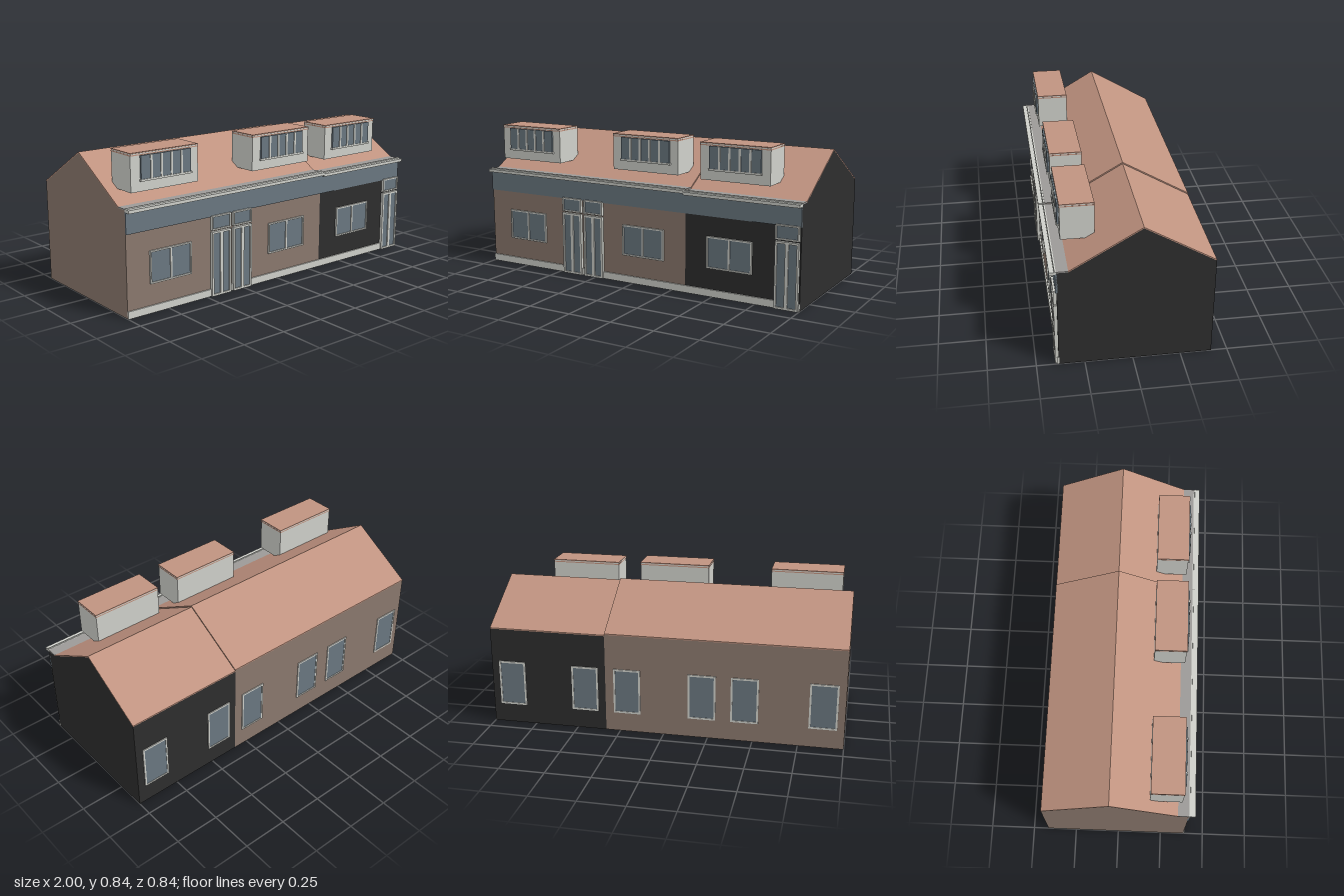
import * as THREE from 'three';

const mat = (name, color) => {
  const m = new THREE.MeshStandardMaterial({ color });
  m.name = name;
  return m;
};

export function createModel() {
  const M = {
    brick: mat('brown brick', 0x8a786d),
    dark: mat('dark brick', 0x2d2d2d),
    roof: mat('terracotta roof', 0xc09380),
    trim: mat('off-white trim', 0xcfd0ca),
    glass: mat('blue grey panel', 0x6a7780),
    lead: mat('grey flat roof', 0x9c9a97),
  };
  const root = new THREE.Group();
  root.name = 'terraceRow';

  const group = (name, parent = root) => {
    const g = new THREE.Group();
    g.name = name;
    parent.add(g);
    return g;
  };

  // box given by its limits on each axis
  const box = (name, parent, m, x0, x1, y0, y1, z0, z1) => {
    const mesh = new THREE.Mesh(new THREE.BoxGeometry(x1 - x0, y1 - y0, z1 - z0), m);
    mesh.position.set((x0 + x1) / 2, (y0 + y1) / 2, (z0 + z1) / 2);
    mesh.name = name;
    parent.add(mesh);
    return mesh;
  };

  // side profile of [z, y] points swept along x
  const sweep = (name, parent, m, pts, x0, x1) => {
    const shape = new THREE.Shape(pts.map(([z, y]) => new THREE.Vector2(-z, y)));
    const geo = new THREE.ExtrudeGeometry(shape, { depth: x1 - x0, bevelEnabled: false });
    geo.rotateY(Math.PI / 2);
    geo.translate(x0, 0, 0);
    const mesh = new THREE.Mesh(geo, m);
    mesh.name = name;
    parent.add(mesh);
  };

  // picture-frame border made from four bars
  const frame = (parent, x0, x1, y0, y1, z0, z1, t) => {
    box('frameBottom', parent, M.trim, x0, x1, y0, y0 + t, z0, z1);
    box('frameTop', parent, M.trim, x0, x1, y1 - t, y1, z0, z1);
    box('frameSide', parent, M.trim, x0, x0 + t, y0 + t, y1 - t, z0, z1);
    box('frameSide', parent, M.trim, x1 - t, x1, y0 + t, y1 - t, z0, z1);
  };

  const FRONT = 0.385, BACK = -0.415, RIDGE = -0.045, EAVE = 0.325;

  // front window with two panes
  const frontWindow = (parent, x0, x1) => {
    const g = group('frontWindow', parent), mid = (x0 + x1) / 2;
    frame(g, x0, x1, 0.157, 0.333, FRONT - 0.005, 0.395, 0.008);
    box('glass', g, M.glass, x0 + 0.005, x1 - 0.005, 0.16, 0.33, FRONT - 0.005, 0.389);
    box('mullion', g, M.trim, mid - 0.005, mid + 0.005, 0.16, 0.33, FRONT, 0.394);
  };

  // double door with a separate light above
  const door = (parent, x0, x1) => {
    const g = group('frontDoor', parent), mid = (x0 + x1) / 2, z = 0.402;
    box('doorPanel', g, M.glass, x0 + 0.005, x1 - 0.005, 0.01, 0.355, FRONT - 0.005, 0.396);
    frame(g, x0, x1, 0, 0.36, FRONT - 0.005, z, 0.011);
    box('doorStile', g, M.trim, mid - 0.009, mid + 0.009, 0.01, 0.35, FRONT, z);
    const t = group('doorTransom', g);
    box('glass', t, M.glass, x0 + 0.005, x1 - 0.005, 0.373, 0.442, FRONT - 0.005, 0.396);
    frame(t, x0, x1, 0.368, 0.448, FRONT - 0.005, z, 0.008);
  };

  // rear window
  const rearWindow = (parent, x0, x1) => {
    const g = group('rearWindow', parent);
    frame(g, x0, x1, 0.11, 0.37, -0.42, BACK + 0.005, 0.01);
    box('glass', g, M.glass, x0 + 0.005, x1 - 0.005, 0.115, 0.365, -0.4175, BACK + 0.005);
  };

  // box dormer with a five-light window
  const dormer = (parent, x0, x1, dy) => {
    const g = group('dormer', parent);
    box('dormerBody', g, M.trim, x0, x1, 0.635 + dy, 0.82 + dy, 0.17, 0.345);
    box('dormerRoof', g, M.roof, x0 - 0.001, x1 + 0.001, 0.82 + dy, 0.826 + dy, 0.17, 0.347);
    box('dormerRoofBand', g, M.trim, x0, x1, 0.826 + dy, 0.831 + dy, 0.17, 0.349);
    box('dormerRoofCap', g, M.roof, x0 - 0.001, x1 + 0.001, 0.831 + dy, 0.836 + dy, 0.17, 0.347);
    const w0 = x0 + 0.057, w1 = x1 - 0.05, step = (w1 - w0) / 5;
    box('dormerGlass', g, M.glass, w0, w1, 0.698 + dy, 0.819 + dy, 0.34, 0.355);
    for (let i = 1; i < 5; i++) {
      const x = w0 + step * i;
      box('dormerMullion', g, M.trim, x - 0.006, x + 0.006, 0.695 + dy, 0.819 + dy, 0.34, 0.359);
    }
    box('dormerSill', g, M.trim, w0 - 0.005, w1 + 0.005, 0.688 + dy, 0.698 + dy, 0.34, 0.359);
  };

  const houses = [
    { x0: -1, x1: -0.333, wall: M.brick, dy: 0, win: [-0.862, -0.602], door: [-0.472, -0.343],
      plinth: [[-1, -0.472], [-0.343, -0.333]], dormer: [-0.935, -0.521], rear: [[-0.96, -0.805], [-0.53, -0.377]] },
    { x0: -0.333, x1: 0.333, wall: M.brick, dy: 0, win: [-0.067, 0.198], door: [-0.325, -0.198],
      plinth: [[-0.333, -0.325], [-0.198, 0.333]], dormer: [-0.15, 0.264], rear: [[-0.293, -0.138], [0.132, 0.285]] },
    { x0: 0.333, x1: 1, wall: M.dark, dy: -0.008, win: [0.465, 0.73], door: [0.862, 0.993],
      plinth: [[0.333, 0.862], [0.993, 1]], dormer: [0.4, 0.806], rear: [[0.375, 0.528], [0.802, 0.957]] },
  ];

  houses.forEach((h) => {
    const g = group('house'), { x0, x1, dy } = h;
    const low = 0.567 + dy, top = 0.785 + dy, t = 0.006;

    // walls with gables
    sweep('walls', g, h.wall, [[FRONT, 0], [BACK, 0], [BACK, low], [RIDGE, top], [EAVE, low], [FRONT, low]], x0, x1);
    // roof skin and flat strip behind the gutter
    sweep('pitchedRoof', g, M.roof,
      [[BACK, low], [RIDGE, top], [EAVE, low], [EAVE, low + t], [RIDGE, top + t], [BACK, low + t]], x0, x1);
    box('flatRoof', g, M.lead, x0, x1, low, low + t, EAVE, FRONT);

    // fascia, gutter and plinth
    box('fascia', g, M.glass, x0, x1, 0.442, 0.56 + dy, FRONT - 0.005, 0.391);
    box('gutter', g, M.trim, x0, x1, 0.555 + dy, 0.572 + dy, FRONT - 0.003, 0.42);
    box('gutterLip', g, M.trim, x0, x1, 0.57 + dy, 0.579 + dy, 0.391, 0.396);
    h.plinth.forEach(([a, b]) => box('plinth', g, M.trim, a, b, 0, 0.04, FRONT - 0.005, 0.393));

    frontWindow(g, ...h.win);
    door(g, ...h.door);
    dormer(g, ...h.dormer, dy);
    h.rear.forEach(([a, b]) => rearWindow(g, a, b));
  });

  return root;
}
